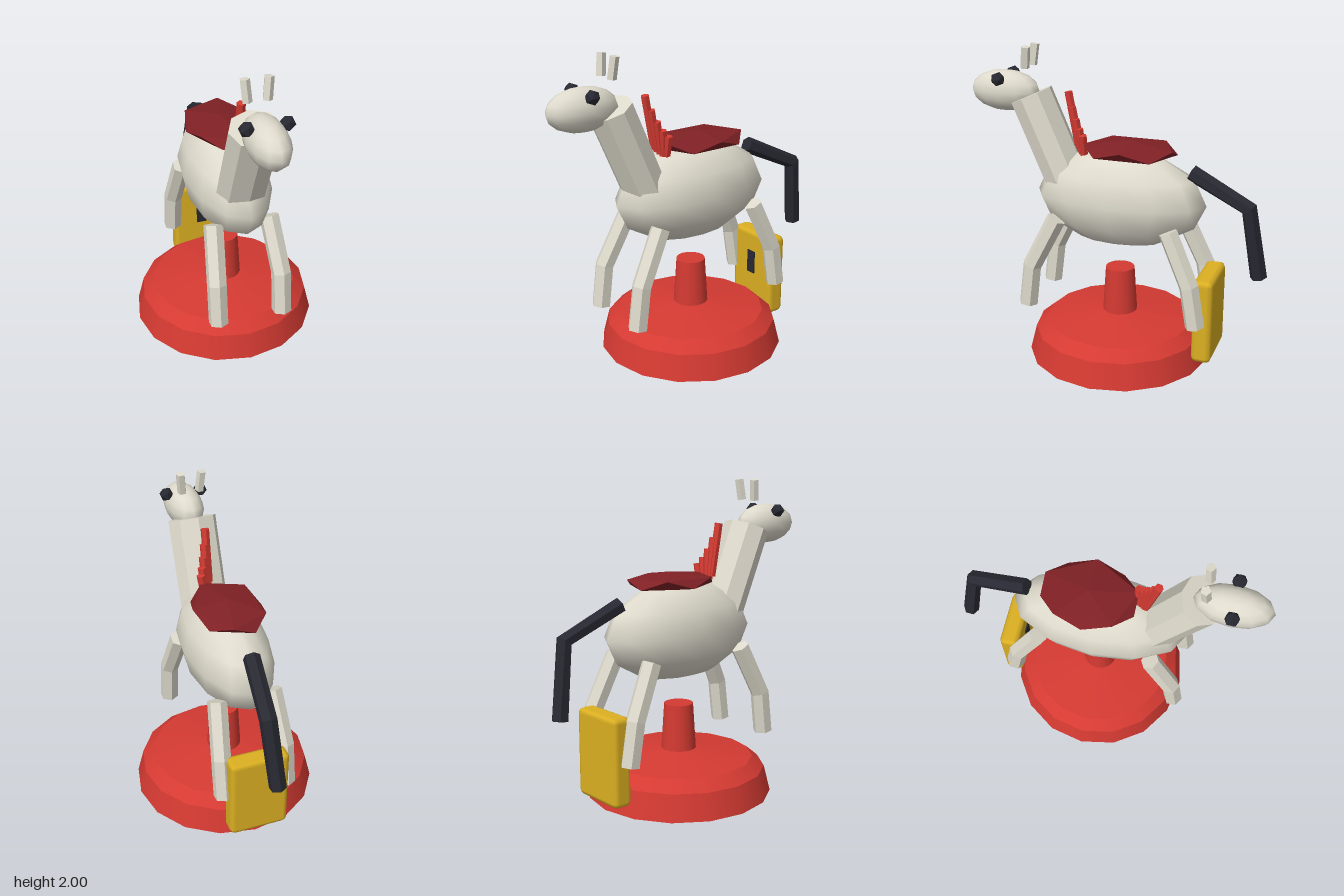
import * as THREE from 'three';
import { RoundedBoxGeometry } from 'three/addons/geometries/RoundedBoxGeometry.js';

const V = (x, y, z) => new THREE.Vector3(x, y, z);

function material(name, color) {
  const m = new THREE.MeshStandardMaterial({ color });
  m.name = name;
  return m;
}

// Prism with flat sides that follows a bent path, mitred at each joint
function limb(points, radius, sides, depth = 1) {
  const n = points.length - 1;
  const g = new THREE.CylinderGeometry(radius, radius, 1, sides, n);
  const p = g.attributes.position;
  const turns = points.map((pt, i) => {
    const a = points[Math.max(i - 1, 0)], b = points[Math.min(i + 1, n)];
    const dir = V(0, 0, 0);
    if (i > 0) dir.add(pt.clone().sub(a).normalize());
    if (i < n) dir.add(b.clone().sub(pt).normalize());
    return new THREE.Quaternion().setFromUnitVectors(V(0, -1, 0), dir.normalize());
  });
  const v = V(0, 0, 0);
  for (let i = 0; i < p.count; i++) {
    const k = Math.round((0.5 - p.getY(i)) * n);
    v.set(p.getX(i), 0, p.getZ(i) * depth).applyQuaternion(turns[k]).add(points[k]);
    p.setXYZ(i, v.x, v.y, v.z);
  }
  const flat = g.toNonIndexed();
  flat.computeVertexNormals();
  return flat;
}

export function createModel() {
  const model = new THREE.Group();
  model.name = 'horseRide';
  const coat = material('coat', 0xdedacc);
  const red = material('red', 0xd43a32);
  const saddleRed = material('saddle red', 0x802125);
  const yellow = material('yellow', 0xdcb022);
  const dark = material('dark', 0x282832);

  const add = (name, geometry, mat, x = 0, y = 0, z = 0) => {
    const mesh = new THREE.Mesh(geometry, mat);
    mesh.name = name;
    mesh.position.set(x, y, z);
    model.add(mesh);
    return mesh;
  };

  // Stepped round base and central post, one band per slope
  const profile = [[0.6, 0], [0.558, 0.165], [0.48, 0.232], [0.125, 0.28], [0.113, 0.281], [0.094, 0.58]];
  for (let i = 0; i < profile.length - 1; i++) {
    const [r0, y0] = profile[i], [r1, y1] = profile[i + 1];
    add(i < 3 ? 'base' : 'post', new THREE.CylinderGeometry(r1, r0, y1 - y0, 16, 1, true), red, 0, (y0 + y1) / 2, -0.02);
  }
  add('baseBottom', new THREE.CircleGeometry(0.6, 16).rotateX(Math.PI / 2), red, 0, 0, -0.02);
  add('postTop', new THREE.CircleGeometry(0.094, 16).rotateX(-Math.PI / 2), red, 0, 0.58, -0.02);

  // Body, neck and head
  add('body', new THREE.SphereGeometry(1, 12, 6).scale(0.265, 0.315, 0.565), coat, 0, 1.06, -0.02);
  add('neck', limb([V(0, 1.683, 0.578), V(0, 1.15, 0.345)], 0.16, 8, 0.86), coat);
  add('head', new THREE.SphereGeometry(1, 12, 8).scale(0.12, 0.132, 0.237), coat, 0, 1.70, 0.757);

  // Mirrored eyes, ears and legs
  for (const s of [1, -1]) {
    const side = s > 0 ? 'left' : 'right';
    const eye = new THREE.IcosahedronGeometry(0.047, 0);
    add(side + 'Eye', eye, dark, s * 0.115, 1.79, 0.755);
    add(side + 'Ear', limb([V(s * 0.07, 1.995, 0.577), V(s * 0.058, 1.862, 0.592)], 0.03, 5), coat);
    add(side + 'FrontLeg', limb([V(s * 0.18, 0.93, 0.35), V(s * 0.21, 0.6, 0.515), V(s * 0.21, 0.325, 0.55)], 0.063, 6), coat);
    add(side + 'HindLeg', limb([V(s * 0.18, 0.93, -0.39), V(s * 0.21, 0.6, -0.54), V(s * 0.21, 0.33, -0.585)], 0.063, 6), coat);
  }

  // Mane: a fan of shrinking rods
  for (let i = 0; i < 5; i++) {
    const top = V(0.018 * i, 1.72 - 0.1 * i + 0.009 * i * i, 0.325 - 0.03 * i);
    add('maneRod', limb([top, V(0.012 * i, 1.38 - 0.014 * i, 0.262 - 0.014 * i)], 0.027, 6), red);
  }

  // Faceted saddle standing on one of its corners
  const t = (1 + Math.sqrt(5)) / 2;
  const saddle = new THREE.IcosahedronGeometry(1, 0).rotateZ(-Math.atan(1 / t)).scale(0.25, 0.06, 0.342);
  saddle.computeVertexNormals();
  add('saddle', saddle, saddleRed, 0, 1.382, -0.085);

  // Tail
  add('tail', limb([V(0, 1.272, -0.485), V(0.045, 1.095, -0.86), V(0.0, 0.635, -0.932)], 0.053, 6), dark);

  // Coin box with slot plate
  const box = new RoundedBoxGeometry(0.39, 0.565, 0.13, 1, 0.035);
  add('coinBox', box, yellow, 0, 0.35, -0.62);
  add('coinSlot', new THREE.BoxGeometry(0.07, 0.16, 0.009), dark, 0, 0.41, -0.552);

  return model;
}
